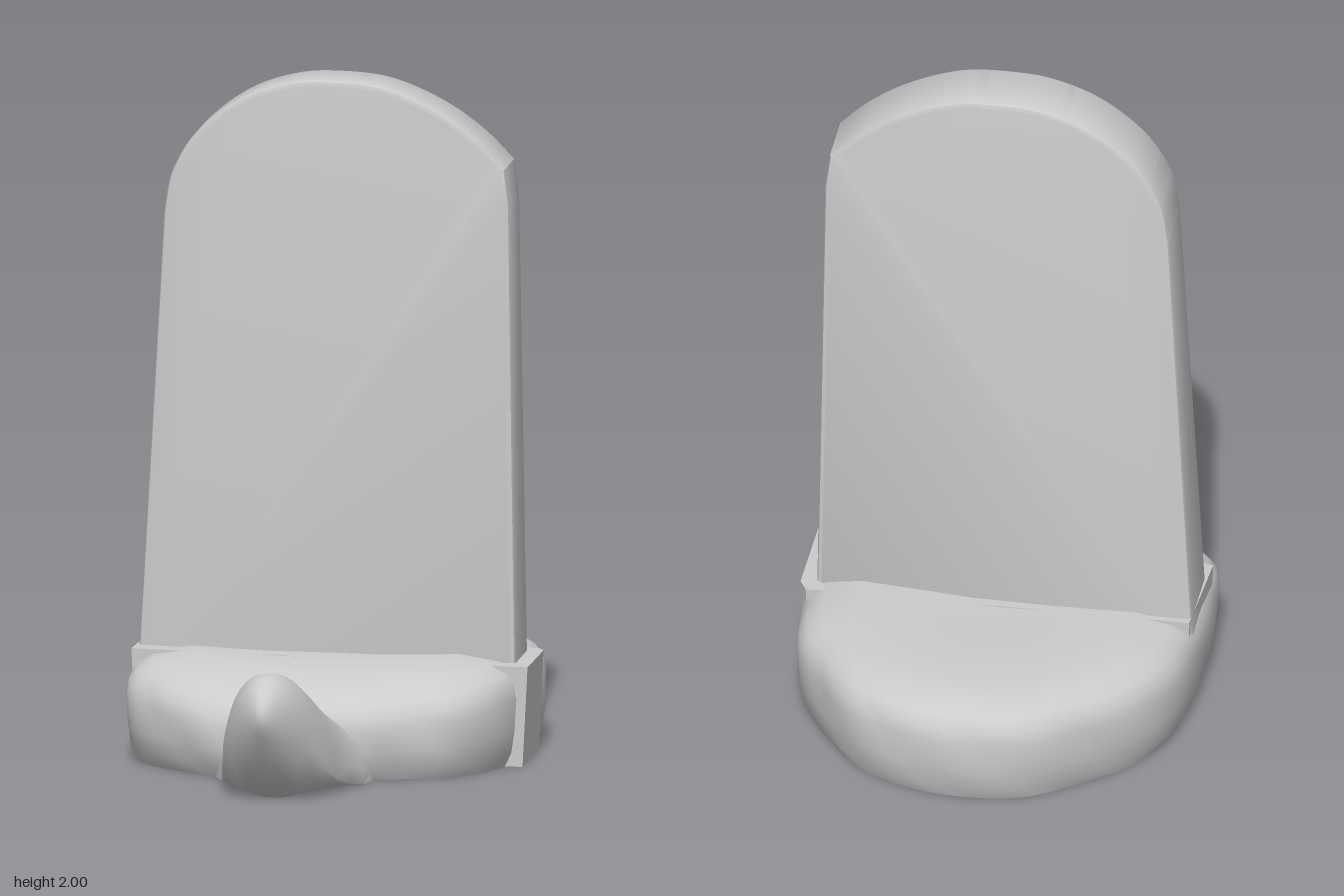
import * as THREE from 'three';
import { toCreasedNormals } from 'three/addons/utils/BufferGeometryUtils.js';

const material = new THREE.MeshStandardMaterial({ color: 0xcccccc });

// Skin a stack of closed rings (arrays of Vector3 with equal length)
function loft(rings, crease) {
  const n = rings[0].length, pos = [], idx = [];
  rings.forEach(r => r.forEach(p => pos.push(p.x, p.y, p.z)));
  for (let j = 0; j < rings.length - 1; j++) {
    for (let i = 0; i < n; i++) {
      const k = (i + 1) % n, a = j * n + i, b = j * n + k, c = a + n, d = b + n;
      idx.push(a, b, c, b, d, c);
    }
  }
  const g = new THREE.BufferGeometry();
  g.setAttribute('position', new THREE.Float32BufferAttribute(pos, 3));
  g.setIndex(idx);
  return toCreasedNormals(g, crease);
}

function part(name, geometry) {
  const m = new THREE.Mesh(geometry, material);
  m.name = name;
  return m;
}

// Rounded foot: one plan outline, scaled ring by ring and closed at both ends
function makeBase() {
  const plan = [
    [0.575, -0.1], [0.585, -0.3], [0.56, -0.48], [0.48, -0.62], [0.35, -0.78], [0.18, -0.865],
    [0, -0.89], [-0.18, -0.86], [-0.33, -0.76], [-0.48, -0.62], [-0.56, -0.47], [-0.59, -0.3],
    [-0.595, 0], [-0.575, 0.16], [-0.5, 0.25], [-0.38, 0.345], [-0.27, 0.4], [-0.05, 0.4],
    [0.15, 0.4], [0.25, 0.36], [0.4, 0.31], [0.5, 0.2], [0.56, 0.05],
  ];
  const curve = new THREE.CatmullRomCurve3(plan.map(([x, z]) => new THREE.Vector3(x, 0, z)), true);
  const outline = curve.getSpacedPoints(96).slice(0, 96);
  const profile = [
    [0, 0], [0.945, 0], [0.975, 0.04], [0.995, 0.11], [1, 0.2], [0.985, 0.245],
    [0.95, 0.275], [0.88, 0.3], [0.7, 0.318], [0.35, 0.31], [0, 0.3],
  ];
  const rings = profile.map(([s, h]) => outline.map((p, i) => {
    // slight lumpiness on the rim, and a lower front edge
    const lump = h > 0 && s > 0.8 ? 1 + 0.006 * Math.sin(i * 0.9 + h * 25) : 1;
    const x = p.x * s * Math.min(lump, 1), z = -0.25 + (p.z + 0.25) * s * Math.min(lump, 1);
    const y = h * (1 - 0.27 * Math.pow(Math.max(0, z) / 0.4, 2));
    return new THREE.Vector3(x, y, z);
  }));
  return loft(rings, 0.9);
}

// Upturned snout: half-ellipse sections that lift off the ground toward the tip
function makeSnout() {
  // z, centre x, half width, bottom y, top y, height of widest point (0..1)
  const sections = [
    [0.2, -0.06, 0.24, 0, 0.16, 0], [0.34, -0.055, 0.235, 0, 0.2, 0],
    [0.42, -0.05, 0.212, 0, 0.225, 0], [0.5, -0.055, 0.188, 0, 0.27, 0.05],
    [0.6, -0.06, 0.17, 0, 0.325, 0.15], [0.69, -0.065, 0.15, 0, 0.368, 0.3],
    [0.76, -0.07, 0.118, 0.06, 0.382, 0.45], [0.82, -0.07, 0.08, 0.13, 0.368, 0.5],
    [0.87, -0.07, 0.038, 0.205, 0.325, 0.5], [0.89, -0.07, 0.015, 0.24, 0.295, 0.5],
    [0.897, -0.07, 0, 0.27, 0.27, 0.5],
  ];
  const n = 32;
  const rings = sections.map(([z, cx, w, y0, y1, c]) => {
    const mid = y0 + (y1 - y0) * c;
    return Array.from({ length: n }, (_, i) => {
      const a = (i / n) * Math.PI * 2, s = Math.sin(a);
      return new THREE.Vector3(cx + w * Math.cos(a), mid + s * (s > 0 ? y1 - mid : mid - y0), z);
    });
  });
  return loft(rings, 1.0);
}

// Upright slab with an arched top, slightly turned and thinner toward the top
function makeSlab() {
  const shape = new THREE.Shape();
  shape.moveTo(-0.585, 0.1);
  shape.lineTo(0.548, 0.1);
  shape.lineTo(0.526, 1.65);
  shape.lineTo(0.512, 1.755);
  shape.splineThru([[0.42, 1.845], [0.3, 1.925], [0.15, 1.985], [0, 2], [-0.13, 1.99], [-0.27, 1.94],
    [-0.4, 1.84], [-0.475, 1.72], [-0.5, 1.6]].map(p => new THREE.Vector2(...p)));
  shape.closePath();
  const bevel = 0.015;
  const g = new THREE.ExtrudeGeometry(shape, {
    depth: 0.21, bevelThickness: bevel, bevelSize: bevel, bevelOffset: -bevel, bevelSegments: 2, curveSegments: 40,
  });
  const p = g.attributes.position;
  for (let i = 0; i < p.count; i++) {
    const x = p.getX(i), y = p.getY(i) - 0.3, t = (p.getZ(i) + bevel) / 0.24;
    const back = -0.26 + 0.04 * x + 0.02 * y, front = -0.02 + 0.04 * x - 0.006 * y;
    p.setZ(i, THREE.MathUtils.lerp(back, front, t));
  }
  return toCreasedNormals(g, 0.5);
}

// Low block carrying the slab, showing as tabs at both sides of the foot
function makePlinth() {
  const shape = new THREE.Shape([
    [-0.585, 0.03], [-0.585, -0.02], [-0.57, 0.3], [0.57, 0.28], [0.592, 0.24], [0.59, -0.06],
  ].slice(1).map(p => new THREE.Vector2(...p)));
  const g = new THREE.ExtrudeGeometry(shape, { depth: 0.295, bevelEnabled: false });
  g.rotateX(-Math.PI / 2);
  const p = g.attributes.position;
  for (let i = 0; i < p.count; i++) {
    if (p.getY(i) < 0.1) p.setX(i, p.getX(i) * 0.975);
    else if (p.getX(i) < 0) p.setY(i, 0.315);
  }
  return toCreasedNormals(g, 0.4);
}

export function createModel() {
  const group = new THREE.Group();
  group.name = 'slabOnFoot';
  group.add(
    part('base', makeBase()),
    part('snout', makeSnout()),
    part('slab', makeSlab()),
    part('plinth', makePlinth()),
  );
  return group;
}
